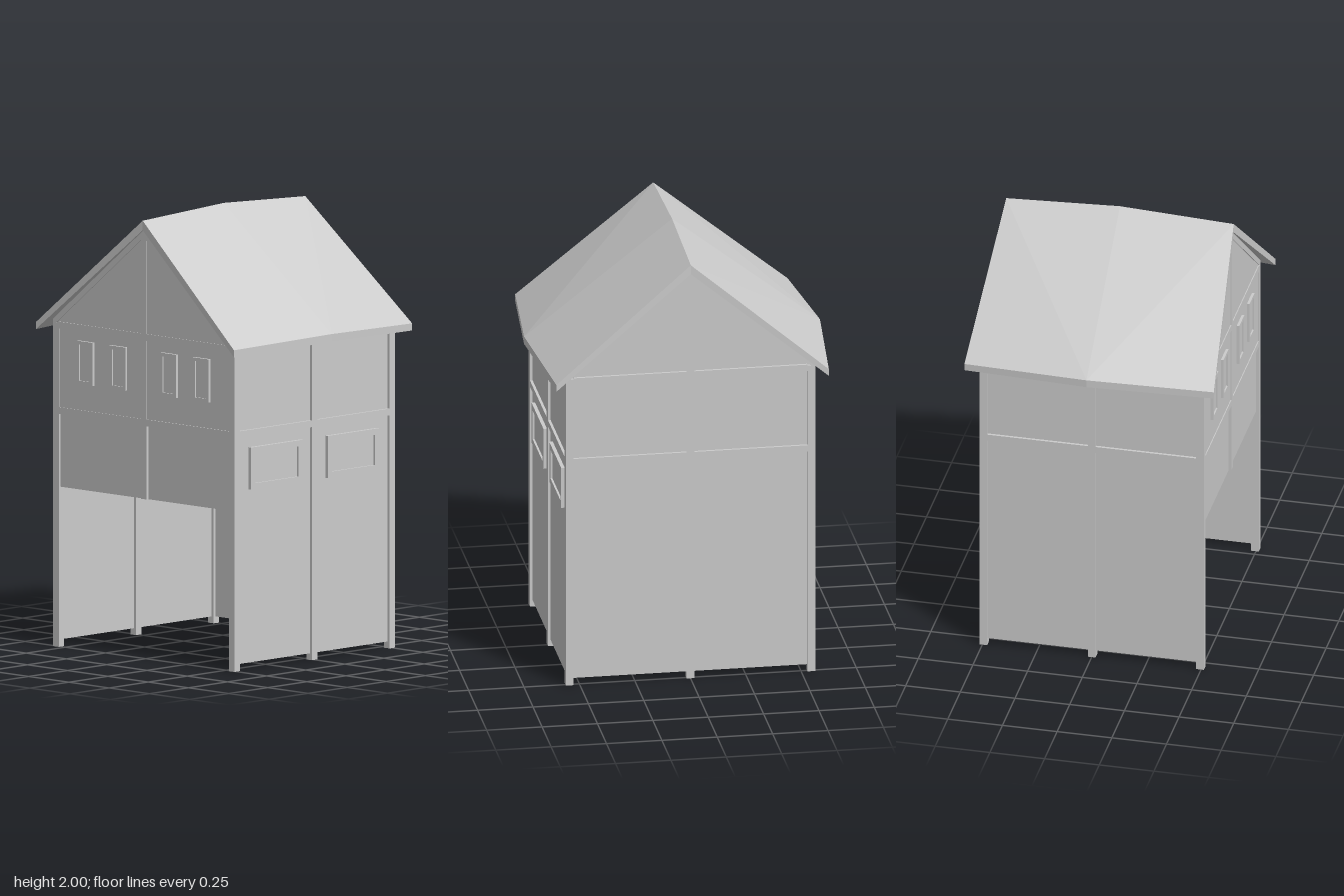
import * as THREE from 'three';

const grey = new THREE.MeshStandardMaterial({ color: 0xcccccc, flatShading: true, side: THREE.DoubleSide });
const X = 0.563, Z = 0.513, P = 0.035; // outer half width, half depth, timber size

export function createModel() {
  const group = new THREE.Group();

  const add = (name, geometry, parent = group) => {
    const mesh = new THREE.Mesh(geometry, grey);
    mesh.name = name;
    parent.add(mesh);
    return mesh;
  };
  // Box from its minimum and maximum on each axis
  const box = (name, x0, x1, y0, y1, z0, z1) => {
    const g = new THREE.BoxGeometry(Math.abs(x1 - x0), y1 - y0, Math.abs(z1 - z0));
    return add(name, g.translate((x0 + x1) / 2, (y0 + y1) / 2, (z0 + z1) / 2));
  };

  // Corner posts, each with a separate foot
  for (const sx of [-1, 1]) for (const sz of [-1, 1]) {
    const at = [sx * (X - P), sx * X], az = [sz * (Z - P), sz * Z];
    box('cornerPostFoot', ...at, 0, 0.36, ...az);
    box('cornerPost', ...at, 0.36, 1.46, ...az);
  }

  // Side walls: middle post, two rails and thin panels
  for (const s of [-1, 1]) {
    const inner = s * (X - P), outer = s * X;
    box('sideMiddlePost', inner, outer, 0, 1.48, -P / 2, P / 2);
    for (const h of [-1, 1]) {
      const z0 = h * P / 2, z1 = h * (Z - P);
      box('sideRail', inner, outer, 1.05, 1.08, z0, z1);
      box('sideTopRail', inner, outer, 1.435, 1.475, z0, z1);
      box('sidePanel', s * (X - 0.022), s * (X - 0.012), 0.03, 1.46, z0, z1);
    }
  }

  // Front and back walls with gables; the front is open below
  for (const s of [-1, 1]) {
    const front = s > 0, base = front ? 0.72 : 0.03;
    const inner = s * (Z - P), outer = s * Z;
    const recess = front ? 0.004 : 0.012; // upper front panels lie nearly flush
    box('middlePost', -P / 2, P / 2, front ? 0.72 : 0, 1.92, inner, outer);
    for (const h of [-1, 1]) {
      const x0 = h * P / 2, x1 = h * (X - P);
      box('wallRail', x0, x1, 1.05, 1.08, inner, outer);
      box('wallTopRail', x0, x1, 1.435, 1.465, inner, outer);
      box('lowerPanel', x0, x1, base, 1.06, s * (Z - 0.022), s * (Z - 0.012));
      box('upperPanel', x0, x1, 1.07, 1.45, s * (Z - recess - 0.01), s * (Z - recess));
    }
    const gable = new THREE.Shape([
      new THREE.Vector2(-X, 1.45), new THREE.Vector2(X, 1.45),
      new THREE.Vector2(X, 1.475), new THREE.Vector2(0, 1.935), new THREE.Vector2(-X, 1.475),
    ]);
    add('gablePanel', new THREE.ExtrudeGeometry(gable, { depth: 0.01, bevelEnabled: false }))
      .position.z = front ? Z - recess - 0.01 : -Z + recess;
    // Rafters along the gable edge
    const rafter = new THREE.Shape([
      new THREE.Vector2(-X, 1.445), new THREE.Vector2(-X, 1.475), new THREE.Vector2(0, 1.935),
      new THREE.Vector2(X, 1.475), new THREE.Vector2(X, 1.445), new THREE.Vector2(0, 1.9),
    ]);
    add('gableRafters', new THREE.ExtrudeGeometry(rafter, { depth: P, bevelEnabled: false }))
      .position.z = front ? Z - P : -Z;
  }

  // Windows: raised frame around a recessed pane, facing +z before placing
  const makeWindow = (w, h, border, depth) => {
    const win = new THREE.Group();
    win.name = 'window';
    const rect = (type, a, b) => new type([[-a, -b], [a, -b], [a, b], [-a, b]]
      .map(([x, y]) => new THREE.Vector2(x / 2, y / 2)));
    const shape = rect(THREE.Shape, w, h);
    shape.holes.push(rect(THREE.Path, w - 2 * border, h - 2 * border));
    add('windowFrame', new THREE.ExtrudeGeometry(shape, { depth, bevelEnabled: false }), win);
    add('windowPane', new THREE.BoxGeometry(w - 2 * border, h - 2 * border, depth / 2)
      .translate(0, 0, depth / 4), win);
    group.add(win);
    return win;
  };
  for (const x of [-0.36, -0.157, 0.157, 0.36])
    makeWindow(0.1, 0.195, 0.016, 0.014).position.set(x, 1.295, Z - 0.006);
  for (const z of [-0.245, 0.245]) {
    const win = makeWindow(0.33, 0.19, 0.027, 0.018);
    win.position.set(X - 0.014, 0.905, z);
    win.rotation.y = Math.PI / 2;
  }

  // Roof: two bowed slopes, each fanned around the middle of its eave
  for (const s of [-1, 1]) {
    const rim = [ // outline of one slope: x, y, z, thickness
      [0, 1.975, 0.52, 0.043], [0.615, 1.46, 0.57, 0.032], [0.668, 1.478, 0, 0.035],
      [0.615, 1.46, -0.57, 0.032], [0, 1.975, -0.52, 0.043], [0, 2, 0, 0.043],
    ];
    const top = rim.map(([x, y, z]) => [s * x, y, z]);
    const low = rim.map(([x, y, z, t]) => [s * x, y - t, z]);
    const pos = [];
    const tri = (a, b, c) => pos.push(...(s > 0 ? [a, b, c] : [a, c, b]).flat());
    for (let k = 3; k < 7; k++) {
      const a = k % 6, b = (k + 1) % 6;
      tri(top[2], top[a], top[b]);
      tri(low[2], low[b], low[a]);
    }
    for (let a = 0; a < 4; a++) {
      tri(top[a], low[a], low[a + 1]);
      tri(top[a], low[a + 1], top[a + 1]);
    }
    const g = new THREE.BufferGeometry();
    g.setAttribute('position', new THREE.Float32BufferAttribute(pos, 3));
    g.computeVertexNormals();
    add(s > 0 ? 'leftRoofSlope' : 'rightRoofSlope', g);
  }

  return group;
}
